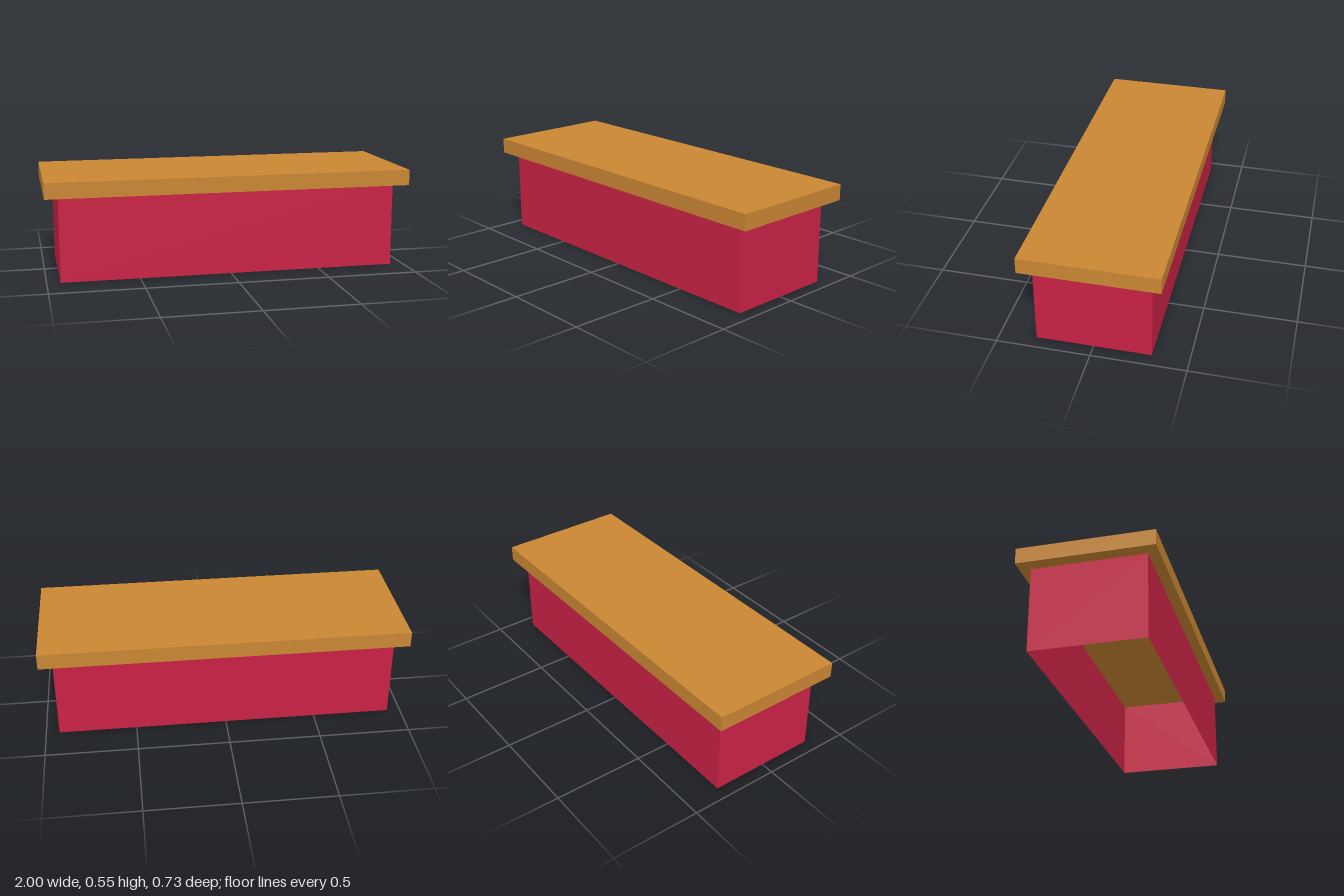
import * as THREE from 'three';

export function createModel() {
  const group = new THREE.Group();
  const wood = new THREE.MeshStandardMaterial({ color: 0xc98633 });
  wood.name = 'ochre wood';
  const red = new THREE.MeshStandardMaterial({ color: 0xc92245, side: THREE.DoubleSide });
  red.name = 'crimson';

  const baseW = 1.854, baseD = 0.611, baseH = 0.463;
  const topH = 0.086;

  // Overhanging slab on top
  const slab = new THREE.Mesh(new THREE.BoxGeometry(2, topH, 0.727), wood);
  slab.name = 'topSlab';
  slab.position.y = baseH + topH / 2;
  group.add(slab);

  // Hollow base: four thin walls, open underneath
  const base = new THREE.Group();
  base.name = 'base';
  ['frontWall', 'leftWall', 'backWall', 'rightWall'].forEach((name, i) => {
    const [width, offset] = i % 2 ? [baseD, baseW / 2] : [baseW, baseD / 2];
    const wall = new THREE.Mesh(new THREE.PlaneGeometry(width, baseH), red);
    wall.name = name;
    wall.rotation.y = i * Math.PI / 2;
    wall.position.set(0, baseH / 2, 0);
    wall.translateZ(offset);
    base.add(wall);
  });
  group.add(base);

  return group;
}
